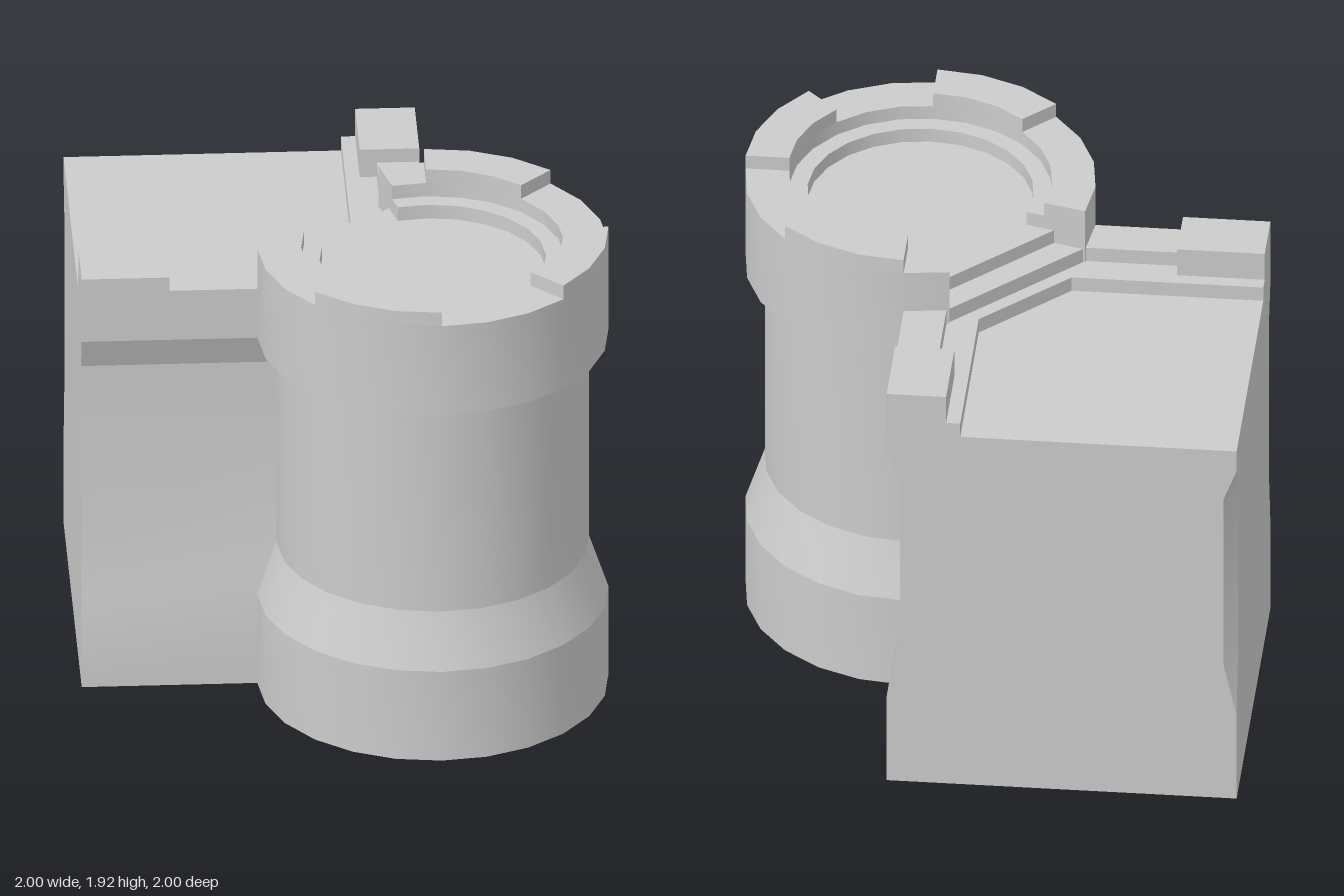
import * as THREE from 'three';
import { toCreasedNormals } from 'three/addons/utils/BufferGeometryUtils.js';

const C = 1 / 3;      // tower centre on x and z, also the outer wall plane
const R = 2 / 3;      // tower outer radius
const STEP = 15;      // degrees per tower side (24 sides)

const material = new THREE.MeshStandardMaterial({ color: 0xcccccc });

function add(group, name, geometry) {
  const mesh = new THREE.Mesh(toCreasedNormals(geometry, 0.29), material);
  mesh.name = name;
  group.add(mesh);
}

// Upright prism over a ground outline of [x, z] points
function prism(outline, y0, y1) {
  const shape = new THREE.Shape(outline.map(([x, z]) => new THREE.Vector2(x, -z)));
  const geo = new THREE.ExtrudeGeometry(shape, { depth: y1 - y0, bevelEnabled: false });
  return geo.rotateX(-Math.PI / 2).translate(0, y0, 0);
}

// Arc around the tower, degrees measured from the back (-z) towards +x
function arc(r, from, to) {
  const points = [];
  for (let a = from; a <= to; a += STEP) {
    const t = THREE.MathUtils.degToRad(a);
    points.push([C + r * Math.sin(t), C - r * Math.cos(t)]);
  }
  return points;
}

function ring(r0, r1, from, to, y0, y1) {
  return prism([...arc(r1, from, to), ...arc(r0, from, to).reverse()], y0, y1);
}

// L-shaped strip along both outer walls with a diagonal inner corner
function wallStep(edge, corner, y0, y1) {
  return prism([[-1, edge], [corner, edge], [edge, corner], [edge, -1],
    [C, -1], [C, C], [-1, C]], y0, y1);
}

// Wall block: outer faces and the far back corner are recessed between base and top
function wallBody() {
  const levels = [[0, 0], [0.38, 0], [0.6, 0.05], [1.35, 0.05], [1.48, 0], [1.57, 0]];
  const positions = [], index = [], n = 5;
  for (const [y, i] of levels) {
    const section = [[-1, -1 + i], [-1, C - i], [C - i, C - i], [C - i, -1], [-1 + i, -1]];
    for (const [x, z] of section) positions.push(x, y, z);
  }
  for (let l = 0; l < levels.length - 1; l++) {
    for (let k = 0; k < n; k++) {
      const a = l * n + k, b = l * n + (k + 1) % n;
      index.push(a, b, b + n, a, b + n, a + n);
    }
  }
  const top = (levels.length - 1) * n;
  for (let k = 1; k < n - 1; k++) {
    index.push(0, k + 1, k);
    index.push(top, top + k, top + k + 1);
  }
  const geo = new THREE.BufferGeometry();
  geo.setAttribute('position', new THREE.Float32BufferAttribute(positions, 3));
  geo.setIndex(index);
  return geo;
}

export function createModel() {
  const model = new THREE.Group();
  model.name = 'castleCorner';

  // Walls
  const walls = new THREE.Group();
  walls.name = 'walls';
  model.add(walls);
  add(walls, 'wallBody', wallBody());
  add(walls, 'walkway', wallStep(0.053, -0.27, 1.57, 1.63));
  add(walls, 'parapet', wallStep(0.172, -0.311, 1.63, 1.69));
  const block = [[-1, 0.107], [-R, 0.107], [-R, C], [-1, C]];
  add(walls, 'leftMerlon', prism(block, 1.63, 1.747));
  add(walls, 'backMerlon', prism(block.map(([x, z]) => [z, x]), 1.63, 1.747));

  // Tower
  const tower = new THREE.Group();
  tower.name = 'tower';
  model.add(tower);
  const profile = [[0, 0], [R, 0], [R, 0.38], [0.593, 0.6], [0.593, 1.5], [0, 1.5]]
    .map(([r, y]) => new THREE.Vector2(r, y));
  add(tower, 'shaft', new THREE.LatheGeometry(profile, 360 / STEP).translate(C, 0, C));
  // The collar leaves a gap facing the courtyard
  add(tower, 'collar', ring(0.5, R, -15, 285, 1.48, 1.862));
  add(tower, 'innerLedge', ring(0.43, 0.5, -15, 285, 1.48, 1.805));
  add(tower, 'towerFloor', prism(arc(0.54, -15, 285), 1.45, 1.747));
  for (const a of [0, 90, 180]) {
    add(tower, 'towerMerlon', ring(0.5, R, a, a + 45, 1.862, 1.92));
  }
  return model;
}
